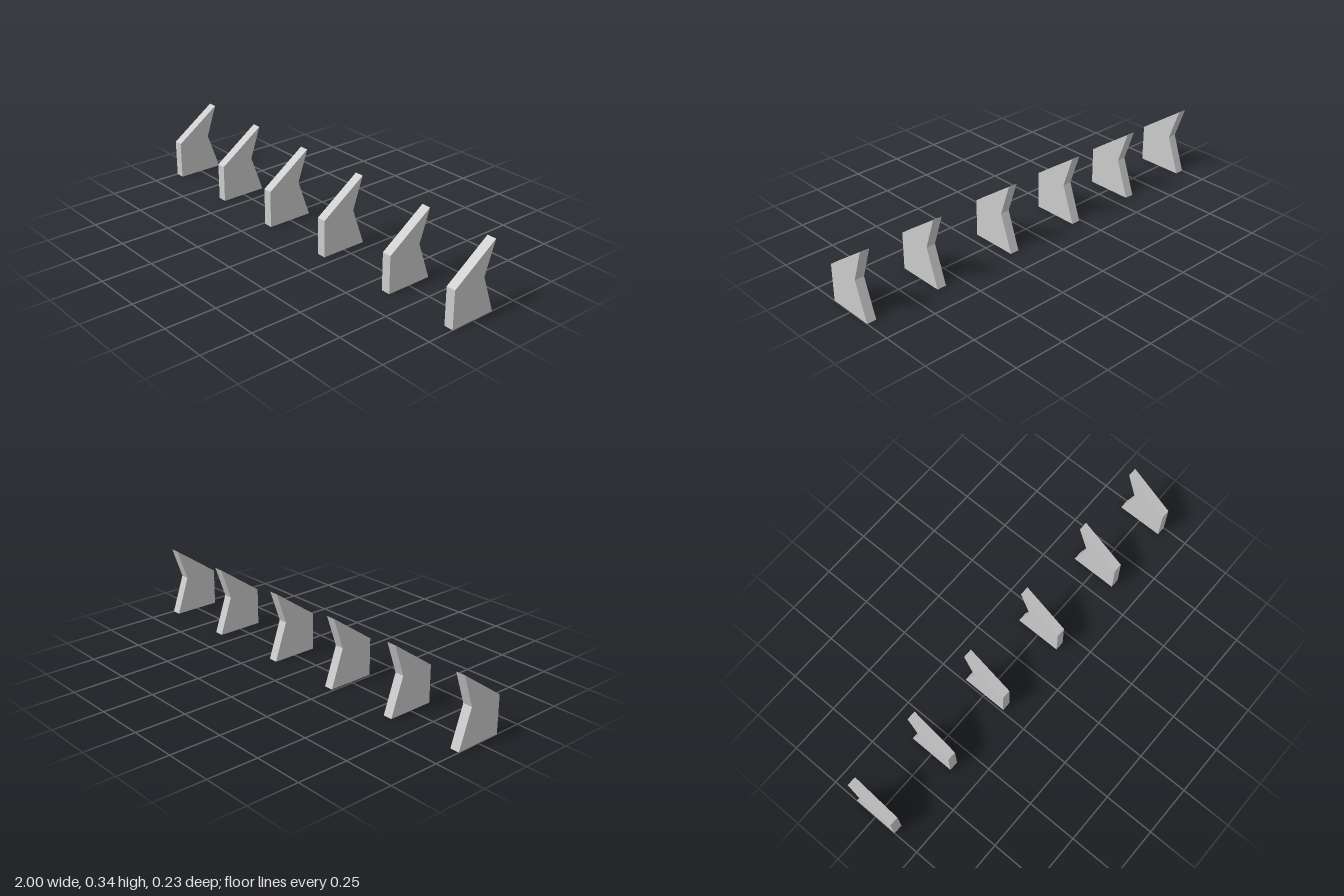
import * as THREE from 'three';

const THICKNESS = 0.046;

// Side profile as (z, y) points, extruded across x and centred
function bracketGeometry() {
  const profile = [[0.117, 0], [0.117, 0.184], [-0.107, 0.341], [-0.053, 0.184], [-0.117, 0]];
  const shape = new THREE.Shape(profile.map(([z, y]) => new THREE.Vector2(z, y)));
  const geometry = new THREE.ExtrudeGeometry(shape, { depth: THICKNESS, bevelEnabled: false });
  geometry.translate(0, 0, -THICKNESS / 2);
  geometry.rotateY(-Math.PI / 2);
  return geometry;
}

export function createModel() {
  const group = new THREE.Group();
  group.name = 'bracketRow';
  const geometry = bracketGeometry();
  const material = new THREE.MeshStandardMaterial({ color: 0xcccccc, flatShading: true });

  // Row of identical, unevenly spaced brackets
  [-0.977, -0.594, -0.217, 0.178, 0.605, 0.977].forEach((x, i) => {
    const bracket = new THREE.Mesh(geometry, material);
    bracket.name = `bracket${i + 1}`;
    bracket.position.x = x;
    group.add(bracket);
  });
  return group;
}
